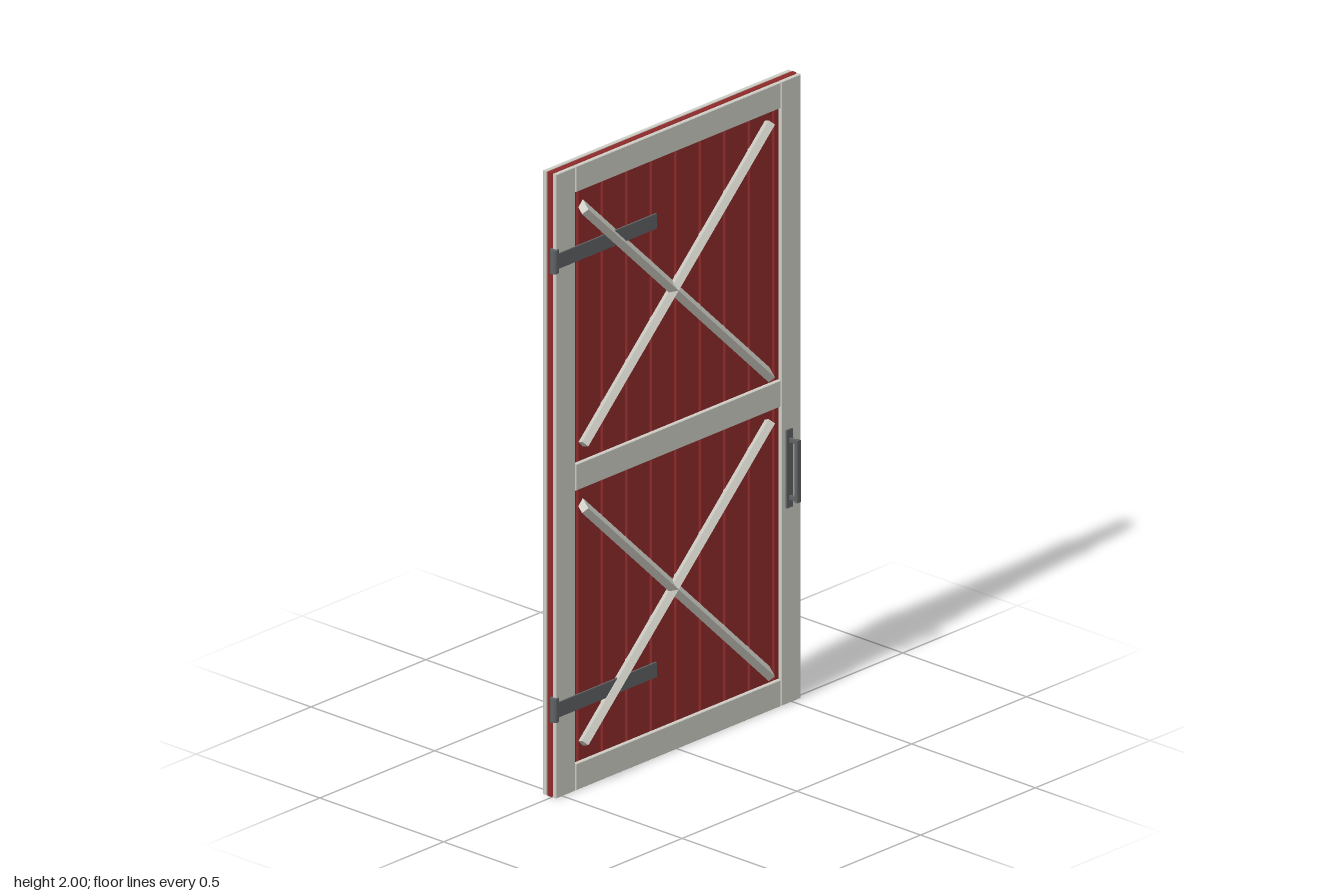
import * as THREE from 'three';

const paint = new THREE.MeshStandardMaterial({ name: 'offWhitePaint', color: 0xd0cfc7 });
const red = new THREE.MeshStandardMaterial({ name: 'barnRed', color: 0x902b2b });
const iron = new THREE.MeshStandardMaterial({ name: 'darkIron', color: 0x606264 });

const CX = 0.0055; // middle of the door leaf
const CZ = -0.01;

export function createModel() {
  const door = new THREE.Group();
  door.name = 'barnDoor';

  const add = (name, geometry, material, x, y, z, parent = door) => {
    const mesh = new THREE.Mesh(geometry, material);
    mesh.name = name;
    mesh.position.set(x, y, z);
    parent.add(mesh);
    return mesh;
  };

  const box = (name, material, w, h, d, x, y, z, parent) =>
    add(name, new THREE.BoxGeometry(w, h, d), material, x, y, z, parent);

  // Board with chamfered edges, given by its limits in x and y
  const board = (name, material, x0, x1, y0, y1, z, thick, b) => {
    const w = (x1 - x0) / 2 - b, h = (y1 - y0) / 2 - b;
    const shape = new THREE.Shape([[-w, -h], [w, -h], [w, h], [-w, h]].map(p => new THREE.Vector2(...p)));
    const geometry = new THREE.ExtrudeGeometry(shape, {
      depth: thick - 2 * b, bevelThickness: b, bevelSize: b, bevelSegments: 1,
    });
    geometry.translate(0, 0, b - thick / 2);
    return add(name, geometry, material, (x0 + x1) / 2, (y0 + y1) / 2, z);
  };

  // Ten vertical planks with V grooves between them
  const left = -0.528, right = 0.539, pitch = (right - left) / 10;
  for (let i = 0; i < 10; i++) {
    const x = left + i * pitch;
    board('plank', red, x, x + pitch, 0, 2, CZ, 0.026, 0.005);
  }

  // Stiles and rails on both faces
  for (const side of [1, -1]) {
    const z = CZ + side * 0.02;
    board('stile', paint, left, -0.443, 0, 2, z, 0.014, 0.002);
    board('stile', paint, 0.453, right, 0, 2, z, 0.014, 0.002);
    for (const [y0, y1] of [[0, 0.085], [0.96, 1.045], [1.917, 2]]) {
      board('rail', paint, -0.441, 0.451, y0, y1, z, 0.014, 0.002);
    }
  }

  // Crossed braces, rolled about their length and running through the leaf
  for (const y of [0.5235, 1.4815]) {
    for (const s of [1, -1]) {
      const brace = box('crossBrace', paint, 1.13, 0.024, 0.106, CX, y, CZ);
      brace.rotation.set(-s * 0.56, 0, s * 0.768, 'ZYX');
    }
  }

  // Strap hinges with their barrels
  for (const y of [0.284, 1.722]) {
    const hinge = new THREE.Group();
    hinge.name = 'hinge';
    door.add(hinge);
    box('hingeStrap', iron, 0.435, 0.048, 0.006, -0.3125, y, 0.019, hinge);
    add('hingeBarrel', new THREE.CylinderGeometry(0.013, 0.013, 0.076, 16), iron, -0.529, y, 0.011, hinge);
  }

  // Pull handle
  const handle = new THREE.Group();
  handle.name = 'handle';
  door.add(handle);
  box('handlePlate', iron, 0.026, 0.25, 0.006, 0.484, 0.754, 0.02, handle);
  box('handleGrip', iron, 0.014, 0.2, 0.012, 0.484, 0.754, 0.054, handle);
  for (const s of [1, -1]) {
    box('handlePost', iron, 0.01, 0.012, 0.032, 0.484, 0.754 + s * 0.092, 0.036, handle);
  }

  return door;
}
